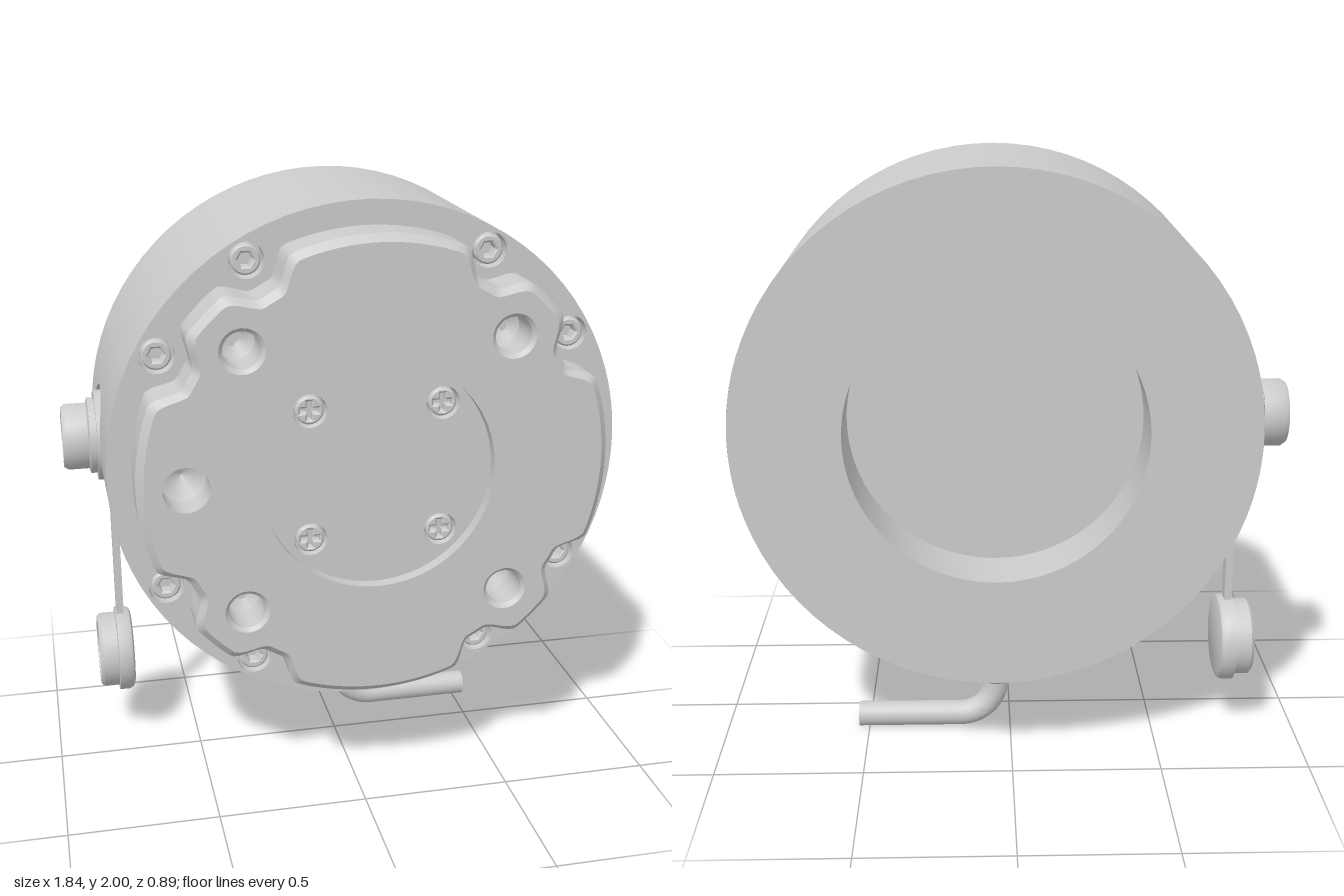
import * as THREE from 'three';
import { toCreasedNormals } from 'three/addons/utils/BufferGeometryUtils.js';

const R = 0.85, BACK = -0.445, FRONT = 0.29, FACE = 0.45, PORT_Z = -0.16;
const mat = new THREE.MeshStandardMaterial({ color: 0xcccccc, side: THREE.DoubleSide });

function add(parent, name, geo, x = 0, y = 0, z = 0) {
  const mesh = new THREE.Mesh(toCreasedNormals(geo, 0.6), mat);
  mesh.name = name;
  mesh.position.set(x, y, z);
  parent.add(mesh);
  return mesh;
}

// Turned part from [radius, height] points, about the z, x or y axis
function turned(points, axis = 'z', segments = 48) {
  const geo = new THREE.LatheGeometry(points.map(p => new THREE.Vector2(...p)), segments);
  if (axis === 'z') geo.rotateX(Math.PI / 2);
  if (axis === 'x') geo.rotateZ(-Math.PI / 2);
  return geo;
}

// Skin over closed rings with equal point counts
function loft(rings) {
  const n = rings[0].length, index = [];
  for (let k = 0; k + 1 < rings.length; k++) {
    for (let i = 0; i < n; i++) {
      const a = k * n + i, b = k * n + (i + 1) % n;
      index.push(a, b, a + n, b, b + n, a + n);
    }
  }
  const geo = new THREE.BufferGeometry().setFromPoints(rings.flat());
  geo.setIndex(index);
  return geo;
}

function circle(x, y, r, Type = THREE.Path) {
  return new Type().absarc(x, y, r, 0, Math.PI * 2, false);
}

function hexagon(r) {
  const pts = [];
  for (let i = 0; i < 6; i++) pts.push(new THREE.Vector2(r * Math.cos(i * Math.PI / 3), r * Math.sin(i * Math.PI / 3)));
  return new THREE.Path(pts);
}

function cross(l, w) {
  const pts = [];
  for (let i = 0; i < 4; i++) {
    for (const [x, y] of [[l, -w], [l, w], [w, w]]) {
      pts.push(new THREE.Vector2(x, y).rotateAround(new THREE.Vector2(), i * Math.PI / 2));
    }
  }
  return new THREE.Path(pts);
}

// Screw head facing +z with its top at z = 0
function screw(parent, name, r, height, drive, x, y, z) {
  const g = new THREE.Group();
  g.name = name;
  g.position.set(x, y, z);
  const shape = circle(0, 0, r, THREE.Shape);
  shape.holes.push(drive);
  const head = new THREE.ExtrudeGeometry(shape, { depth: height - 0.006, bevelSize: 0.006, bevelThickness: 0.006, bevelOffset: -0.006, bevelSegments: 1, curveSegments: 14 });
  add(g, 'screwHead', head, 0, 0, -height);
  add(g, 'driveFloor', new THREE.CircleGeometry(r * 0.85, 20), 0, 0, -height * 0.75);
  parent.add(g);
  return g;
}

// Patch of the housing wall with a round flat recess cut square to its radius
function recessedPatch(angle, r, floor) {
  const n = 64, steps = 6, half = R * Math.sin(Math.PI / 8), rings = [];
  const ring = fn => Array.from({ length: n }, (_, i) => fn(Math.cos(i * 2 * Math.PI / n), Math.sin(i * 2 * Math.PI / n)));
  for (let k = 0; k <= steps; k++) {
    rings.push(ring((c, s) => {
      const m = Math.max(Math.abs(c), Math.abs(s)), t = k / steps;
      const edge = s > 0 ? FRONT - PORT_Z : PORT_Z - BACK;
      const u = THREE.MathUtils.lerp(c / m * half, c * r, t);
      const z = THREE.MathUtils.lerp(s / m * edge, s * r, t);
      return new THREE.Vector3(Math.sqrt(R * R - u * u), u, PORT_Z + z);
    }));
  }
  for (const [rr, x] of [[r, floor + 0.008], [r - 0.012, floor], [0, floor]]) {
    rings.push(ring((c, s) => new THREE.Vector3(x, c * rr, PORT_Z + s * rr)));
  }
  return loft(rings).rotateZ(angle);
}

export function createModel() {
  const model = new THREE.Group();
  model.name = 'roundHousingUnit';
  const unit = new THREE.Group();
  unit.name = 'housing';
  unit.position.set(0.05, 1.15, 0);
  model.add(unit);

  // Housing wall: plain arcs between three recessed patches
  const deg = Math.PI / 180;
  for (const [start, sweep] of [[22.5, 135], [202.5, 45], [292.5, 45]]) {
    const geo = new THREE.CylinderGeometry(R, R, FRONT - BACK, Math.round(sweep / 4.5), 1, true, (start + 90) * deg, sweep * deg);
    add(unit, 'housingWall', geo.rotateX(Math.PI / 2), 0, 0, (FRONT + BACK) / 2);
  }
  add(unit, 'buttonSideWall', recessedPatch(0, 0.175, 0.82));
  add(unit, 'connectorSideWall', recessedPatch(Math.PI, 0.175, 0.82));
  add(unit, 'cableSideWall', recessedPatch(-Math.PI / 2, 0.24, 0.81));

  // Back face with its blind bore
  add(unit, 'backFace', turned([[0, -0.23], [0.49, -0.23], [0.49, BACK], [R, BACK]], 'z', 80));

  // Front rim with counterbored screws
  const rim = circle(0, 0, R, THREE.Shape);
  rim.holes.push(circle(0, 0, 0.6));
  const boltAngles = [];
  for (let q = 0; q < 4; q++) boltAngles.push((q * 90 + 30) * deg, (q * 90 + 60) * deg);
  for (const a of boltAngles) {
    const x = 0.78 * Math.cos(a), y = 0.78 * Math.sin(a);
    rim.holes.push(circle(x, y, 0.058));
    add(unit, 'rimScrewWell', turned([[0.058, 0], [0.058, -0.07], [0, -0.07]], 'z', 24), x, y, FRONT);
    screw(unit, 'rimScrew', 0.048, 0.06, hexagon(0.025), x, y, FRONT - 0.008);
  }
  add(unit, 'frontRim', new THREE.ShapeGeometry(rim, 40), 0, 0, FRONT);

  // Front cover, scalloped around the rim screws
  const count = 288;
  const outline = (inset, z) => Array.from({ length: count }, (_, i) => {
    const a = i * 2 * Math.PI / count;
    const d = Math.min(...boltAngles.map(b => Math.abs(a - b))) * 0.78;
    const r = 0.77 - inset - 0.078 * (1 - THREE.MathUtils.smoothstep(d, 0.035, 0.13 + inset * 0.5));
    return new THREE.Vector3(r * Math.cos(a), r * Math.sin(a), z);
  });
  const front = outline(0.024, FACE);
  add(unit, 'coverEdge', loft([outline(0, FRONT), outline(0, FACE - 0.025), front]));
  const face = new THREE.Shape(front.map(p => new THREE.Vector2(p.x, p.y)));
  face.holes.push(circle(0, 0, 0.382));
  for (const sx of [-1, 1]) {
    for (const sy of [-1, 1]) {
      const x = sx * 0.432, y = sy * 0.432;
      face.holes.push(circle(x, y, 0.073));
      add(unit, 'mountingHole', turned([[0.073, 0], [0.06, -0.013], [0.06, -0.14], [0, -0.175]], 'z', 32), x, y, FACE);
    }
  }
  face.holes.push(circle(-0.615, 0, 0.075));
  add(unit, 'locatingHole', turned([[0.075, 0], [0.075, -0.11], [0, -0.155]], 'z', 32), -0.615, 0, FACE);
  add(unit, 'coverFace', new THREE.ShapeGeometry(face, 24), 0, 0, FACE);

  // Sunken centre plate with four cross-head screws
  const plateZ = FACE - 0.045;
  add(unit, 'plateRecess', turned([[0.382, FACE], [0.382, plateZ - 0.01]], 'z', 64));
  const plate = circle(0, 0, 0.382, THREE.Shape);
  for (const sx of [-1, 1]) {
    for (const sy of [-1, 1]) {
      const x = sx * 0.216, y = sy * 0.216;
      plate.holes.push(circle(x, y, 0.055));
      add(unit, 'plateScrewWell', turned([[0.055, 0], [0.05, -0.04], [0, -0.04]], 'z', 24), x, y, plateZ);
      screw(unit, 'plateScrew', 0.046, 0.036, cross(0.03, 0.008), x, y, plateZ - 0.004);
    }
  }
  add(unit, 'centrePlate', new THREE.ShapeGeometry(plate, 32), 0, 0, plateZ);

  // Side button
  add(unit, 'sideButton', turned([[0.113, 0.81], [0.113, 0.864], [0.107, 0.87], [0, 0.87]], 'x'), 0, 0, PORT_Z);

  // Side connector with recessed end
  add(unit, 'connector', turned([[0, -0.955], [0.085, -0.955], [0.085, -0.97], [0.103, -0.97], [0.113, -0.955],
    [0.113, -0.885], [0.13, -0.88], [0.13, -0.81]], 'x'), 0, 0, PORT_Z);
  add(unit, 'strapRing', turned([[0.11, -0.857], [0.155, -0.857], [0.155, -0.815]], 'x'), 0, 0, PORT_Z);

  // Tether strap and hanging dust cap, open toward the connector side
  add(model, 'capStrap', new THREE.BoxGeometry(0.025, 0.58, 0.05), -0.758, 0.74, PORT_Z);
  add(model, 'dustCap', turned([[0, -0.755], [0.095, -0.755], [0.095, -0.775], [0.105, -0.785], [0.095, -0.795],
    [0.105, -0.805], [0.105, -0.84], [0.122, -0.84], [0.132, -0.83], [0.132, -0.777], [0.15, -0.775],
    [0.15, -0.74], [0.143, -0.726], [0.13, -0.72], [0, -0.72]], 'x'), 0, 0.33, PORT_Z);

  // Bottom gland, screws and bent cable
  add(model, 'cableGland', turned([[0, 0.26], [0.052, 0.26], [0.052, 0.345]], 'y', 32), 0.05, 0, PORT_Z);
  for (const [x, z] of [[-0.11, PORT_Z], [0.21, PORT_Z], [0.05, -0.325]]) {
    screw(model, 'bottomScrew', 0.053, 0.085, hexagon(0.028), x, 0.258, z).rotation.x = Math.PI / 2;
  }
  const cable = new THREE.CurvePath();
  const p = (x, y) => new THREE.Vector3(x, y, PORT_Z);
  const bend = 0.125, k = bend * 0.448, low = 0.043;
  cable.add(new THREE.LineCurve3(p(0.05, 0.33), p(0.05, low + bend)));
  cable.add(new THREE.CubicBezierCurve3(p(0.05, low + bend), p(0.05, low + k), p(0.05 + k, low), p(0.05 + bend, low)));
  cable.add(new THREE.LineCurve3(p(0.05 + bend, low), p(0.535, low)));
  add(model, 'cable', new THREE.TubeGeometry(cable, 60, 0.043, 24, false));
  add(model, 'cableEnd', new THREE.CircleGeometry(0.043, 24).rotateY(Math.PI / 2), 0.535, low, PORT_Z);

  return model;
}
